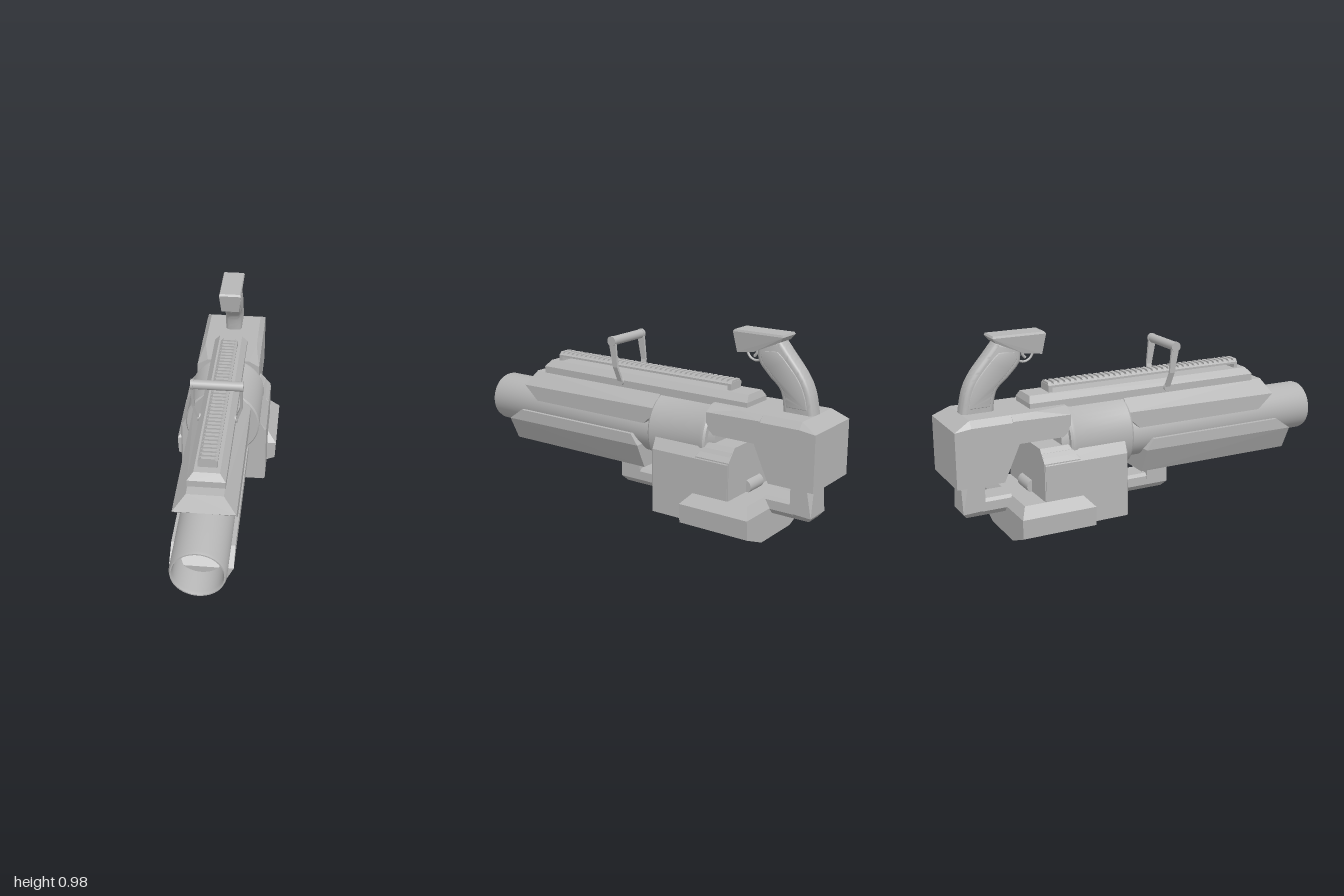
import * as THREE from 'three';
import { ConvexGeometry } from 'three/addons/geometries/ConvexGeometry.js';
import { toCreasedNormals } from 'three/addons/utils/BufferGeometryUtils.js';

export function createModel() {
  const model = new THREE.Group();
  const metal = new THREE.MeshStandardMaterial({ color: 0xb6b6b6 });
  metal.name = 'grey metal';

  const add = (name, geometry) => {
    const mesh = new THREE.Mesh(geometry, metal);
    mesh.name = name;
    model.add(mesh);
    return mesh;
  };
  // Faceted solid around points, optionally mirrored across x = 0
  const hull = (name, points, mirror = true) => {
    const all = points.map(p => new THREE.Vector3(...p));
    if (mirror) points.forEach(([x, y, z]) => all.push(new THREE.Vector3(-x, y, z)));
    return add(name, new ConvexGeometry(all));
  };
  // Solid with one [x, y] half section running from z0 to z1
  const prism = (name, section, z0, z1) =>
    hull(name, section.flatMap(([x, y]) => [[x, y, z0], [x, y, z1]]));
  // Solid turned about the z axis at height y, from [radius, z] points
  const turned = (name, profile, y) => {
    const g = new THREE.LatheGeometry(profile.map(p => new THREE.Vector2(...p)), 48);
    g.rotateX(Math.PI / 2).translate(0, y, 0);
    return add(name, toCreasedNormals(g, 0.5));
  };
  const rod = (name, r, length, x, y, z) => {
    const g = new THREE.CylinderGeometry(r, r, length, 24).rotateZ(Math.PI / 2);
    return add(name, g.translate(x, y, z));
  };

  // Hollow barrel and the wider receiver drum behind it
  turned('barrel', [[0, -0.12], [0.127, -0.12], [0.127, 0.985], [0.122, 1],
    [0.116, 1], [0.111, 0.985], [0.111, 0.02], [0, 0.02]], 0.413);
  turned('receiverDrum', [[0, -0.48], [0.165, -0.48], [0.165, -0.44], [0.188, -0.44],
    [0.195, -0.43], [0.195, -0.415], [0.191, -0.405], [0.191, -0.115], [0.184, -0.105], [0, -0.105]], 0.437);

  // Angular guards above and below the barrel
  hull('upperGuard', [
    [0.145, 0.465, 0.655], [0.145, 0.465, -0.05], [0.145, 0.54, 0.74],
    [0.145, 0.52, -0.11], [0.145, 0.55, -0.11], [0.085, 0.613, 0.7], [0.085, 0.613, -0.11]]);
  hull('lowerGuard', [
    [0.145, 0.395, 0.775], [0.145, 0.335, 0.86], [0.085, 0.212, 0.86],
    [0.145, 0.395, 0.03], [0.145, 0.34, -0.01], [0.085, 0.212, -0.01]]);

  // Central housing, with its raised rear half
  hull('housing', [
    [0.217, 0.055, -0.157], [0.225, 0.055, -0.165], [0.217, 0.375, -0.157], [0.225, 0.375, -0.165],
    [0.19, 0.427, -0.157], [0.225, 0.055, -0.59], [0.225, 0.375, -0.59], [0.19, 0.427, -0.59]]);
  hull('housingRear', [
    [0.222, 0.2, -0.41], [0.222, 0.2, -0.595], [0.222, 0.385, -0.41], [0.222, 0.385, -0.595],
    [0.17, 0.425, -0.41], [0.17, 0.447, -0.45], [0.17, 0.447, -0.595]]);
  rod('housingPin', 0.035, 0.12, 0, 0.225, -0.585);

  // Wide magazine foot
  hull('foot', [-0.355, -0.73].flatMap((z, i) => [
    [0.135, 0, z], [0.268, 0.055, z], [0.273, 0.15, z], [0.225, 0.2, i ? -0.7 : -0.4]]));

  // Rear housing: forward arm and drop block
  hull('rearArm', [
    [0.165, 0.52, -0.43], [0.165, 0.59, -0.43], [0.11, 0.622, -0.43], [0.165, 0.485, -0.47],
    [0.165, 0.485, -0.72], [0.165, 0.595, -0.72], [0.14, 0.622, -0.72], [0.14, 0.622, -0.6]]);
  hull('rearBlock', [
    [0.165, 0.487, -0.69], [0.165, 0.59, -0.69], [0.14, 0.622, -0.69], [0.165, 0.35, -0.77],
    [0.165, 0.31, -0.77], [0.165, 0.31, -1], [0.165, 0.58, -1], [0.165, 0.59, -0.92], [0.14, 0.622, -0.92]]);

  // Bent brackets under the front and the back
  const bracketBar = [[0.045, 0.103], [0.068, 0.13], [0.068, 0.175], [0.055, 0.19]];
  prism('frontBracketBar', bracketBar, 0.03, -0.17);
  hull('frontBracketPost', [
    [0.045, 0.103, 0.125], [0.045, 0.103, 0.03], [0.068, 0.13, 0.147], [0.068, 0.13, 0.03],
    [0.068, 0.25, 0.147], [0.068, 0.25, 0.035]]);
  prism('rearBracketBar', bracketBar.map(([x, y]) => [x, y + 0.017]), -0.7, -0.85);
  hull('rearBracketPost', [
    [0.045, 0.12, -0.84], [0.045, 0.12, -0.925], [0.068, 0.15, -0.835], [0.068, 0.145, -0.945],
    [0.068, 0.3, -0.835], [0.068, 0.3, -0.915], [0.045, 0.3, -0.945]]);
  add('rearCollar', new THREE.CylinderGeometry(0.075, 0.075, 0.03, 32).translate(0, 0.3, -0.885));

  // Top mount and raised toothed rail
  hull('topMount', [
    [0.088, 0.59, 0.645], [0.088, 0.645, 0.645], [0.06, 0.677, 0.62],
    [0.088, 0.59, -0.605], [0.088, 0.645, -0.605], [0.06, 0.677, -0.595]]);
  prism('rail', [[0.045, 0.698], [0.045, 0.708], [0.038, 0.714]], 0.58, -0.49);
  for (const z of [0.57, -0.48])
    add('railFoot', new THREE.BoxGeometry(0.09, 0.03, 0.02).translate(0, 0.688, z));
  for (let i = 0; i < 36; i++) {
    const z = 0.572 - i * 0.03;
    prism('railTooth', [[0.044, 0.708], [0.03, 0.723]], z + 0.008, z - 0.01);
  }

  // Folding carry bar
  rod('carryBar', 0.023, 0.235, 0, 0.845, 0.163);
  for (const s of [-1, 1]) {
    const level = (x, y, z, half) => [-1, 1].flatMap(a => [-1, 1].map(b =>
      [s * (x + a * 0.006), y, z + b * half]));
    hull('carryBarLegTop', [...level(0.117, 0.85, 0.163, 0.021), ...level(0.117, 0.715, 0.143, 0.014)], false);
    hull('carryBarLegBottom', [...level(0.117, 0.715, 0.143, 0.014), ...level(0.093, 0.64, 0.132, 0.014)], false);
    rod('carryBarCap', 0.025, 0.014, s * 0.119, 0.845, 0.163);
    rod('carryBarPivot', 0.018, 0.016, s * 0.09, 0.637, 0.131);
  }

  // Curved rear grip; side outlines are [distance behind centre, height]
  const outline = pts => {
    const [front, back] = pts.map(list => list.map(p => new THREE.Vector2(...p)));
    const s = new THREE.Shape();
    s.moveTo(front[0].x, front[0].y);
    s.splineThru(front.slice(1));
    s.lineTo(back[0].x, back[0].y);
    s.splineThru(back.slice(1));
    return s;
  };
  const sideSolid = (name, shape, width, bevel) => {
    const g = new THREE.ExtrudeGeometry(shape, {
      depth: width - 2 * bevel, bevelEnabled: true, bevelThickness: bevel, bevelSize: bevel,
      bevelOffset: -bevel, bevelSegments: 4, curveSegments: 8 });
    g.translate(0, 0, bevel - width / 2).rotateY(Math.PI / 2);
    return add(name, toCreasedNormals(g, 0.6));
  };
  sideSolid('grip', outline([
    [[0.765, 0.6], [0.745, 0.71], [0.68, 0.775], [0.625, 0.84], [0.62, 0.92]],
    [[0.74, 0.945], [0.79, 0.885], [0.86, 0.8], [0.9, 0.72], [0.925, 0.6]]]), 0.086, 0.022);
  sideSolid('gripPanels', outline([
    [[0.785, 0.645], [0.765, 0.72], [0.7, 0.79], [0.648, 0.85], [0.655, 0.89]],
    [[0.73, 0.895], [0.77, 0.86], [0.84, 0.78], [0.875, 0.71], [0.89, 0.645]]]), 0.092, 0.004);

  // Grip head, trigger and its guard
  hull('gripHead', [
    [0.057, 0.965, -0.5], [0.053, 0.975, -0.507], [0.053, 0.975, -0.76], [0.057, 0.965, -0.765],
    [0.046, 0.868, -0.518], [0.046, 0.88, -0.61], [0.05, 0.94, -0.745]]);
  const tube = (name, pts, r) => add(name, new THREE.TubeGeometry(
    new THREE.CatmullRomCurve3(pts.map(p => new THREE.Vector3(0, ...p))), 16, r, 8));
  tube('triggerGuard', [[0.885, -0.54], [0.845, -0.56], [0.83, -0.59], [0.838, -0.62], [0.86, -0.64]], 0.006);
  tube('trigger', [[0.89, -0.6], [0.865, -0.598], [0.848, -0.585]], 0.007);

  return model;
}
